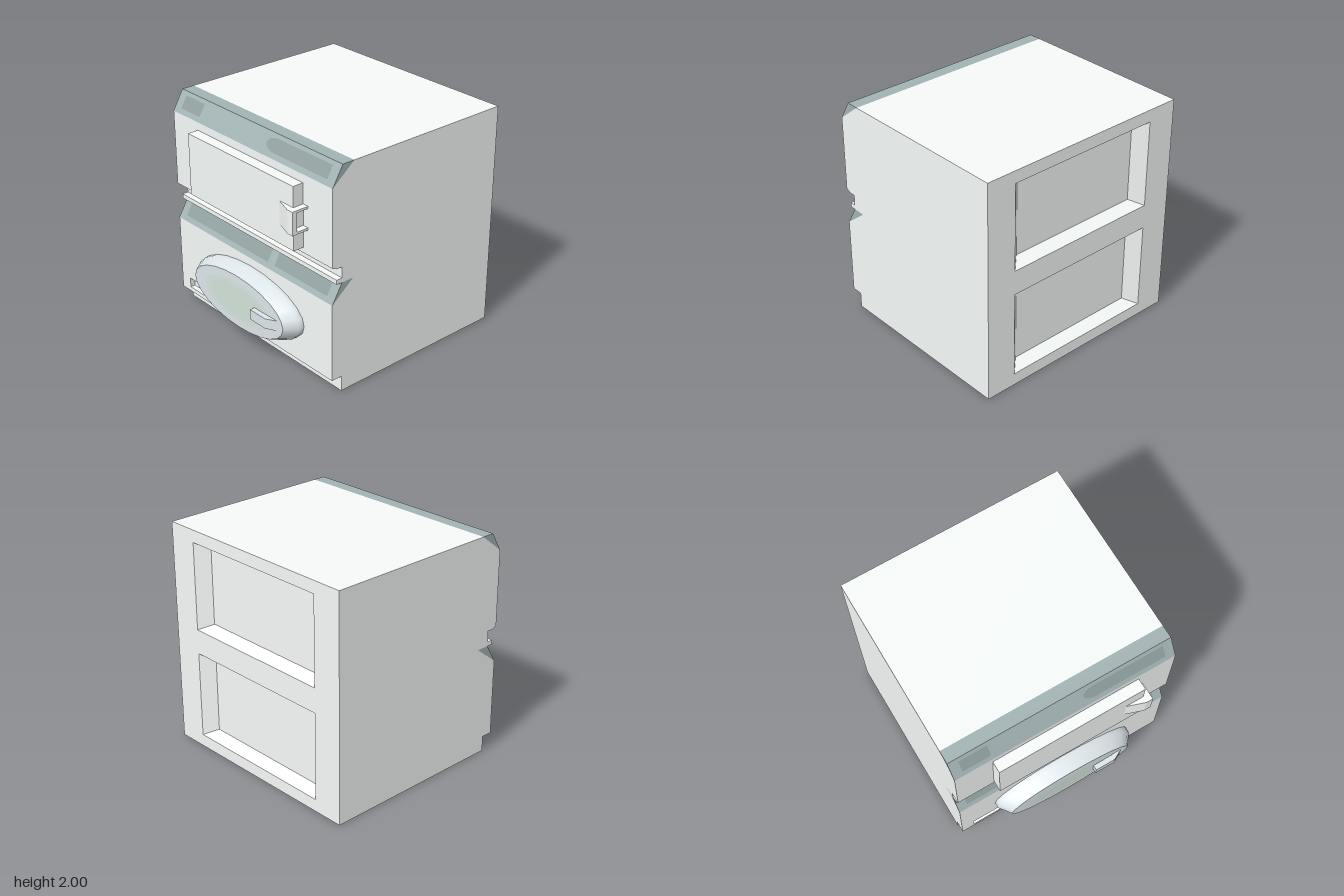
import * as THREE from 'three';

const mat = (color) => new THREE.MeshStandardMaterial({ color });
const white = mat(0xf6faf8);
const teal = mat(0xa2b2b3);
const darkTeal = mat(0x909f9f);
const silver = mat(0xdde6ea);
const paleGlass = mat(0xd8e5e2);
const glass = mat(0xd2e3d8);

const poly = (pts) => new THREE.Shape(pts.map(([x, y]) => new THREE.Vector2(x, y)));
const rect = (x0, x1, y0, y1) => poly([[x0, y0], [x1, y0], [x1, y1], [x0, y1]]);
const extrude = (shape, depth) => new THREE.ExtrudeGeometry(shape, { depth, bevelEnabled: false, curveSegments: 10 });

// Side profile of [z, y] points, run across the full width
const acrossWidth = (pts) => extrude(poly(pts), 2).rotateY(-Math.PI / 2).translate(1, 0, 0);

// Plan outline of [x, z] points, raised from y0 to y1
const upright = (pts, y0, y1) =>
  extrude(poly(pts.map(([x, z]) => [x, -z])), y1 - y0).rotateX(-Math.PI / 2).translate(0, y0, 0);

const box = (x0, x1, y0, y1, z0, z1) =>
  new THREE.BoxGeometry(x1 - x0, y1 - y0, z1 - z0).translate((x0 + x1) / 2, (y0 + y1) / 2, (z0 + z1) / 2);

// Back wall with two recesses whose sides taper inward
function backWallGeometry() {
  const wall = rect(-1, 1, 0, 2);
  for (const cy of [0.5, 1.5]) wall.holes.push(rect(-0.725, 0.725, cy - 0.39, cy + 0.39));
  const geo = extrude(wall, 0.1).translate(0, 0, -1);
  const p = geo.attributes.position;
  for (let i = 0; i < p.count; i++) {
    if (p.getZ(i) < -0.95 || Math.abs(p.getX(i)) > 0.9) continue;
    const cy = p.getY(i) > 1 ? 1.5 : 0.5;
    p.setX(i, p.getX(i) * 0.856);
    p.setY(i, cy + (p.getY(i) - cy) * 0.856);
  }
  geo.computeVertexNormals();
  return geo;
}

export function createModel() {
  const model = new THREE.Group();
  const add = (name, geometry, material = white, parent = model) => {
    const mesh = new THREE.Mesh(geometry, material);
    mesh.name = name;
    parent.add(mesh);
    return mesh;
  };

  // Cabinet: stepped plinth, notches for the sloped panels, ledge between units
  add('cabinet', acrossWidth([
    [-0.9, 0], [0.695, 0], [0.695, 0.137], [0.75, 0.137], [0.75, 0.83], [0.795, 0.83], [0.58, 1],
    [0.75, 1], [0.75, 1.04], [0.695, 1.04], [0.695, 1.137], [0.75, 1.137], [0.795, 1.158],
    [0.795, 1.83], [0.58, 2], [-0.9, 2],
  ]));
  add('backWall', backWallGeometry());

  // Lower front with a shallow slot
  const front = rect(-1, 1, 0.137, 0.83);
  front.holes.push(rect(-0.885, -0.525, 0.177, 0.266));
  add('lowerFront', extrude(front, 0.045).translate(0, 0, 0.75));

  // Sloped control panels with darker insets
  const v0 = 0.046, v1 = 0.162, vm = (v0 + v1) / 2;
  const roundedInset = new THREE.Shape();
  roundedInset.moveTo(0.915, v0);
  roundedInset.lineTo(0.915, v1);
  roundedInset.lineTo(0.29, v1);
  roundedInset.absellipse(0.29, vm, 0.115, (v1 - v0) / 2, Math.PI / 2, Math.PI * 1.5, false);
  const panels = [
    ['lower', 0.83, [rect(-0.915, 0.19, v0, v1), rect(0.275, 0.915, v0, v1)]],
    ['upper', 1.83, [rect(-0.915, -0.665, v0, v1), roundedInset]],
  ];
  for (const [level, y, insets] of panels) {
    add(level + 'ControlPanel', acrossWidth([[0.795, y], [0.695, y + 0.17], [0.58, y + 0.17]]), teal);
    const group = new THREE.Group();
    group.name = level + 'PanelInsets';
    group.position.set(0, y, 0.795);
    group.rotation.x = -Math.atan2(0.1, 0.17);
    for (const s of insets) add('panelInset', new THREE.ShapeGeometry(s).translate(0, 0, 0.002), darkTeal, group);
    model.add(group);
  }

  // Upper rectangular door with a hollow handle open to the side
  add('upperDoor', box(-0.665, 0.665, 1.207, 1.76, 0.795, 0.895));
  const handle = new THREE.Group();
  handle.name = 'upperHandle';
  model.add(handle);
  add('handlePlate', upright(
    [[0.5, 0.895], [0.665, 0.895], [0.665, 0.907], [0.72, 0.907], [0.72, 0.95], [0.66, 0.95]], 1.378, 1.582), white, handle);
  for (const y of [1.378, 1.562]) add('handleFlange', box(0.665, 0.72, y, y + 0.02, 0.795, 0.907), white, handle);

  // Lower oval door: rim, face and tinted window
  const oval = (geometry, z) => geometry.scale(0.665, 0.275, 1).translate(0, 0.483, z);
  const rim = [[1, 0], [1, 0.05], [0.88, 0.155]].map(([r, h]) => new THREE.Vector2(r, h));
  add('ovalDoorRim', oval(new THREE.LatheGeometry(rim, 24).rotateX(Math.PI / 2), 0.795), silver);
  add('ovalDoorFace', oval(new THREE.CircleGeometry(0.88, 24), 0.95), silver);
  add('ovalWindowEdge', oval(new THREE.CircleGeometry(0.66, 32), 0.952), paleGlass);
  add('ovalWindow', oval(new THREE.CircleGeometry(0.54, 32), 0.954), glass);
  add('lowerHandle', upright([[0.23, 0.94], [0.515, 0.94], [0.515, 0.95], [0.42, 1], [0.23, 1]], 0.438, 0.53), silver);

  return model;
}
